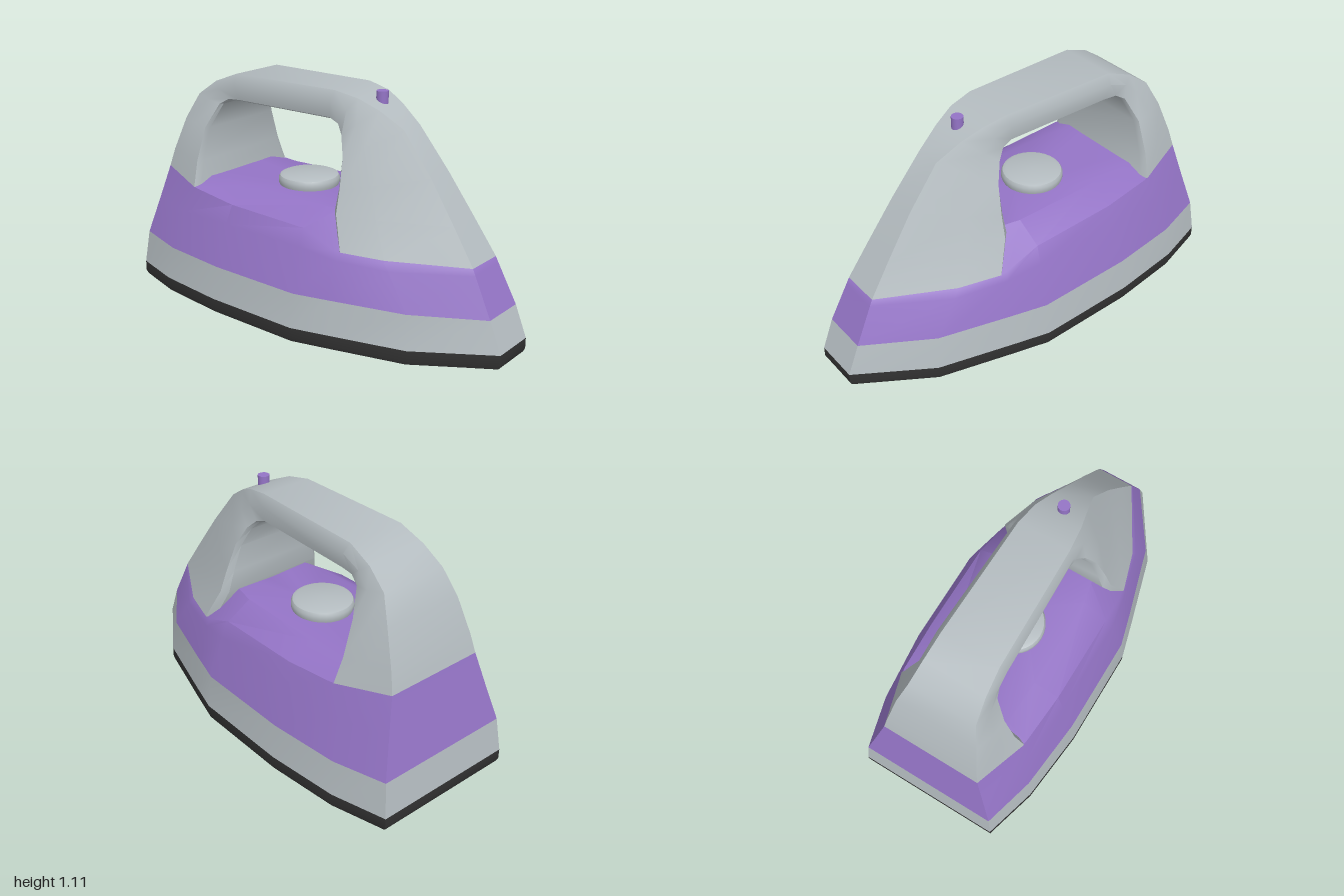
import * as THREE from 'three';
import { toCreasedNormals } from 'three/addons/utils/BufferGeometryUtils.js';

// Mirror half an outline (points [x, y, z] on the +z side) into a closed ring.
const ring = (half) => [...half, ...half.map(([x, y, z]) => [x, y, -z]).reverse()];

// Skin a list of equal-length rings, closing the ends where asked.
function loft(rings, { bottom = false, top = false, crease = 0.65 } = {}) {
  const n = rings[0].length;
  const pos = rings.flat(2);
  const index = [];
  for (let i = 0; i < rings.length - 1; i++) {
    for (let j = 0; j < n; j++) {
      const k = (j + 1) % n;
      const a = i * n + j, b = i * n + k, c = b + n, d = a + n;
      index.push(a, b, c, a, c, d);
    }
  }
  const cap = (r, flip) => {
    const centre = pos.length / 3;
    for (let axis = 0; axis < 3; axis++) {
      pos.push(rings[r].reduce((sum, p) => sum + p[axis], 0) / n);
    }
    for (let j = 0; j < n; j++) {
      const a = r * n + j, b = r * n + (j + 1) % n;
      index.push(...(flip ? [b, a, centre] : [a, b, centre]));
    }
  };
  if (bottom) cap(0, true);
  if (top) cap(rings.length - 1, false);
  const geo = new THREE.BufferGeometry();
  geo.setAttribute('position', new THREE.Float32BufferAttribute(pos, 3));
  geo.setIndex(index);
  return toCreasedNormals(geo, crease);
}

export function createModel() {
  const group = new THREE.Group();
  const material = (name, color) => {
    const m = new THREE.MeshStandardMaterial({ color });
    m.name = name;
    return m;
  };
  const grey = material('light grey', 0xb4bcc0);
  const purple = material('purple', 0x9474c6);
  const dark = material('dark sole', 0x333333);
  const add = (name, geometry, mat) => {
    const mesh = new THREE.Mesh(geometry, mat);
    mesh.name = name;
    group.add(mesh);
    return mesh;
  };

  // Body outlines, heel to nose, from the sole up
  const foot = [[-1, 0.36], [-0.74, 0.435], [-0.38, 0.475], [0.12, 0.478], [0.3, 0.43], [0.66, 0.33], [1, 0.11]];
  const footAt = (y, inset = 0) => ring(foot.map(([x, z]) => [x * (1 - inset), y, z * (1 - inset * 1.8)]));
  const seam = ring([
    [-0.975, 0.245, 0.345], [-0.72, 0.237, 0.415], [-0.37, 0.237, 0.452], [0.12, 0.237, 0.455],
    [0.29, 0.237, 0.41], [0.64, 0.235, 0.31], [0.94, 0.222, 0.11],
  ]);
  const middle = ring([
    [-0.93, 0.43, 0.295], [-0.67, 0.43, 0.37], [-0.36, 0.44, 0.388], [0.11, 0.44, 0.39],
    [0.28, 0.41, 0.36], [0.53, 0.4, 0.293], [0.85, 0.4, 0.097],
  ]);
  const rim = ring([
    [-0.89, 0.6, 0.25], [-0.61, 0.555, 0.335], [-0.35, 0.53, 0.352], [0.1, 0.52, 0.355],
    [0.27, 0.45, 0.345], [0.5, 0.43, 0.285], [0.835, 0.43, 0.095],
  ]);
  const deck = ring([
    [-0.8, 0.59, 0.18], [-0.58, 0.592, 0.22], [-0.36, 0.595, 0.23], [0.1, 0.595, 0.23],
    [0.2, 0.595, 0.21], [0.4, 0.59, 0.16], [0.6, 0.58, 0.06],
  ]);
  add('solePlate', loft([footAt(0, 0.025), footAt(0.007, 0.008), footAt(0.025), footAt(0.075)], { bottom: true }), dark);
  add('lowerBody', loft([footAt(0.075), seam]), grey);
  add('upperBody', loft([seam, middle, rim, deck], { top: true }), purple);

  // Handle arch: inner x, y, outer x, y, inner width, place and width of the widest side point, outer width
  const arch = [
    [-0.61, 0.555, -0.89, 0.6, 0.335, 0.5, 0.295, 0.25],
    [-0.625, 0.68, -0.865, 0.69, 0.295, 0.5, 0.27, 0.235],
    [-0.62, 0.84, -0.8, 0.86, 0.24, 0.5, 0.235, 0.205],
    [-0.575, 0.955, -0.735, 0.985, 0.18, 0.5, 0.19, 0.17],
    [-0.53, 0.98, -0.63, 1.06, 0.165, 0.6, 0.178, 0.155],
    [-0.47, 0.98, -0.5, 1.11, 0.16, 0.65, 0.174, 0.145],
    [0.08, 0.98, 0.1, 1.113, 0.145, 0.65, 0.155, 0.13],
    [0.13, 0.96, 0.22, 1.09, 0.15, 0.6, 0.152, 0.115],
    [0.165, 0.92, 0.32, 1.045, 0.175, 0.5, 0.155, 0.09],
    [0.2, 0.83, 0.435, 0.97, 0.215, 0.42, 0.17, 0.062],
    [0.21, 0.7, 0.59, 0.78, 0.26, 0.41, 0.205, 0.07],
    [0.21, 0.6, 0.725, 0.59, 0.295, 0.41, 0.24, 0.083],
    [0.27, 0.45, 0.835, 0.43, 0.345, 0.41, 0.285, 0.095],
  ];
  const sections = arch.map(([ix, iy, ox, oy, wi, t, wm, wo]) => {
    const at = (s, w) => [ix + (ox - ix) * s, iy + (oy - iy) * s, w];
    return ring([at(1, wo), at(t, wm), at(0.06, wi), at(0, wi * 0.9)]);
  });
  add('handle', loft(sections, { crease: 0.75 }), grey);

  // Temperature dial with a rounded edge
  const dialProfile = [[0, 0], [0.14, 0], [0.149, 0.022], [0.149, 0.045], [0.142, 0.058], [0.125, 0.065], [0, 0.065]]
    .map(([r, y]) => new THREE.Vector2(r, y));
  const dial = toCreasedNormals(new THREE.LatheGeometry(dialProfile, 32), 0.6);
  add('dial', dial, grey).position.set(-0.165, 0.58, 0);

  // Steam button on the front of the handle
  add('steamButton', new THREE.CylinderGeometry(0.028, 0.028, 0.09, 20), purple).position.set(0.27, 1.068, 0);

  return group;
}
